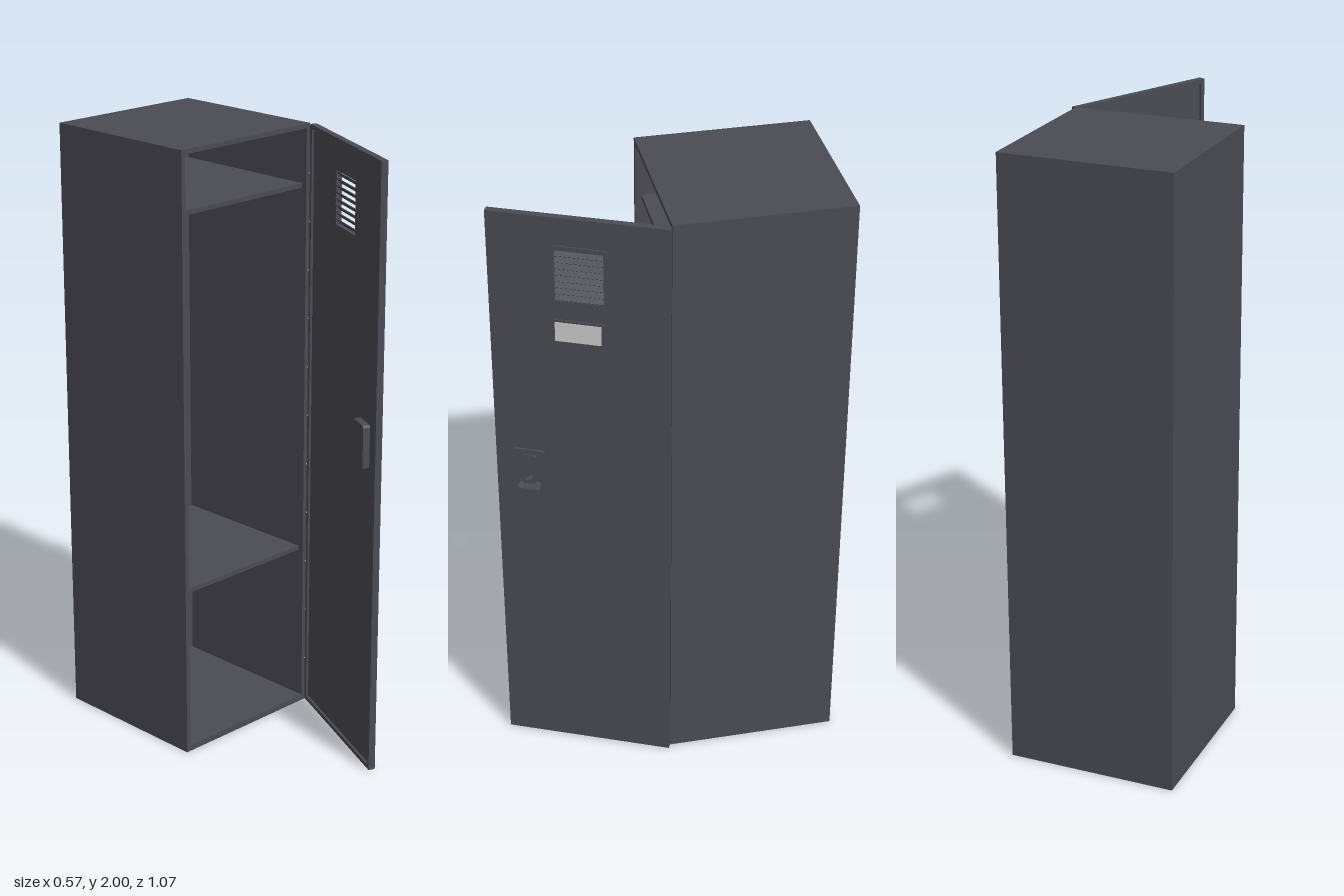
import * as THREE from 'three';

const paint = new THREE.MeshStandardMaterial({ color: 0x4b4b54 });
paint.name = 'charcoal paint';
const card = new THREE.MeshStandardMaterial({ color: 0xd0d0d0 });
card.name = 'pale card';

function add(parent, name, geometry, x, y, z, material = paint) {
  const mesh = new THREE.Mesh(geometry, material);
  mesh.name = name;
  mesh.position.set(x, y, z);
  parent.add(mesh);
  return mesh;
}

// Box given by its min and max corners
function box(parent, name, [x0, y0, z0], [x1, y1, z1], material) {
  return add(parent, name, new THREE.BoxGeometry(x1 - x0, y1 - y0, z1 - z0),
    (x0 + x1) / 2, (y0 + y1) / 2, (z0 + z1) / 2, material);
}

// Rectangle outline with optional rounded corners
function rect(PathType, [x0, y0, x1, y1], r = 0) {
  const p = new PathType();
  if (!r) {
    p.moveTo(x0, y0).lineTo(x1, y0).lineTo(x1, y1).lineTo(x0, y1).closePath();
    return p;
  }
  p.absarc(x1 - r, y0 + r, r, -Math.PI / 2, 0);
  p.absarc(x1 - r, y1 - r, r, 0, Math.PI / 2);
  p.absarc(x0 + r, y1 - r, r, Math.PI / 2, Math.PI);
  p.absarc(x0 + r, y0 + r, r, Math.PI, Math.PI * 1.5);
  p.closePath();
  return p;
}

// Flat plate with rectangular openings, from depth z0 to z1
function plate(parent, name, outline, r, holes, z0, z1) {
  const shape = rect(THREE.Shape, outline, r);
  holes.forEach(([h, hr]) => shape.holes.push(rect(THREE.Path, h, hr)));
  const geometry = new THREE.ExtrudeGeometry(shape,
    { depth: z1 - z0, bevelEnabled: false, curveSegments: 5 });
  return add(parent, name, geometry, 0, 0, z0);
}

function buildCabinet() {
  const cabinet = new THREE.Group();
  cabinet.name = 'cabinet';
  const L = -0.287, R = 0.267, B = -0.535, F = 0.02, t = 0.015;
  box(cabinet, 'rightWall', [L, 0, B], [L + t, 2, F]);
  box(cabinet, 'leftWall', [R - t, 0, B], [R, 2, F]);
  box(cabinet, 'backWall', [L + t, 0, B], [R - t, 2, B + t]);
  box(cabinet, 'floor', [L + t, 0, B + t], [R - t, 0.02, F]);
  box(cabinet, 'roof', [L + t, 2 - t, B + t], [R - t, 2, F]);
  for (const y of [0.552, 1.792]) {
    box(cabinet, 'shelf', [L + t, y, B + t], [R - t, y + t, F - 0.02]);
  }

  // Coat hooks on the back wall
  const curve = new THREE.CatmullRomCurve3([
    [0, 1.635, 0.006], [0, 1.63, 0.03], [0, 1.655, 0.046], [0, 1.69, 0.05],
  ].map((p) => new THREE.Vector3(...p)));
  for (const x of [-0.17, -0.01, 0.15]) {
    const hook = new THREE.Group();
    hook.name = 'coatHook';
    hook.position.set(x, 0, B + t);
    box(hook, 'hookPlate', [-0.011, 1.618, 0], [0.011, 1.685, 0.006]);
    add(hook, 'hookArm', new THREE.TubeGeometry(curve, 12, 0.007, 8), 0, 0, 0);
    add(hook, 'hookKnob', new THREE.SphereGeometry(0.018, 14, 10), 0, 1.692, 0.05);
    cabinet.add(hook);
  }
  return cabinet;
}

function buildDoor() {
  // Local frame: hinge at x = 0, door runs along -x, outside faces +z
  const door = new THREE.Group();
  door.name = 'door';
  const W = -0.55, T = 0.022;
  const vent = [-0.346, 1.722, -0.197, 1.892];
  const grip = [-0.483, 1.02, -0.408, 1.152];

  plate(door, 'doorPanel', [W, 0.003, 0, 1.997], 0, [[vent, 0], [grip, 0.01]], 0.008, T);
  plate(door, 'doorRim', [W, 0.003, 0, 1.997], 0,
    [[[W + 0.014, 0.017, -0.014, 1.983], 0]], 0, 0.008);

  // Louvred vent
  plate(door, 'ventFrame', [-0.356, 1.708, -0.187, 1.906], 0.008, [[vent, 0]], T, T + 0.005);
  const slats = 8, pitch = (vent[3] - vent[1]) / slats;
  for (let i = 0; i < slats; i++) {
    const slat = add(door, 'ventSlat', new THREE.BoxGeometry(vent[2] - vent[0], 0.003, 0.028),
      (vent[0] + vent[2]) / 2, vent[1] + pitch * (i + 0.5), 0.015);
    slat.rotation.x = Math.PI / 4;
  }
  for (const x of [-0.35, -0.193]) {
    for (const y of [1.714, 1.9]) {
      const rivet = add(door, 'ventRivet', new THREE.CylinderGeometry(0.004, 0.004, 0.003, 8),
        x, y, T + 0.006);
      rivet.rotation.x = Math.PI / 2;
    }
  }

  // Name card in its holder
  plate(door, 'cardHolder', [-0.356, 1.573, -0.196, 1.655], 0.004,
    [[[-0.349, 1.58, -0.206, 1.648], 0]], T, T + 0.005);
  box(door, 'nameCard', [-0.349, 1.58, T], [-0.206, 1.648, T + 0.003], card);
  box(door, 'cardHolderTab', [-0.196, 1.607, T], [-0.188, 1.621, T + 0.004]);

  // Recessed handle: trim, cup behind the door, and pull lever
  plate(door, 'handleTrim', [-0.496, 1.003, -0.394, 1.17], 0.012, [[grip, 0.01]], T, T + 0.007);
  plate(door, 'handleCupWall', [-0.489, 1.012, -0.402, 1.16], 0.012, [[grip, 0.01]], -0.012, 0.01);
  plate(door, 'handleCupBack', [-0.489, 1.012, -0.402, 1.16], 0.012, [], -0.015, -0.012);
  plate(door, 'handleLever', [-0.473, 1.032, -0.428, 1.14], 0.01,
    [[[-0.463, 1.044, -0.438, 1.128], 0.006]], 0.004, 0.016);
  for (const y of [1.038, 1.134]) {
    box(door, 'leverPost', [-0.458, y - 0.005, -0.012], [-0.444, y + 0.005, 0.006]);
  }

  // Swung open about the hinge
  door.position.set(0.266, 0, 0.021);
  door.rotation.y = 1.147;
  return door;
}

export function createModel() {
  const locker = new THREE.Group();
  locker.name = 'locker';
  locker.add(buildCabinet(), buildDoor());
  return locker;
}
